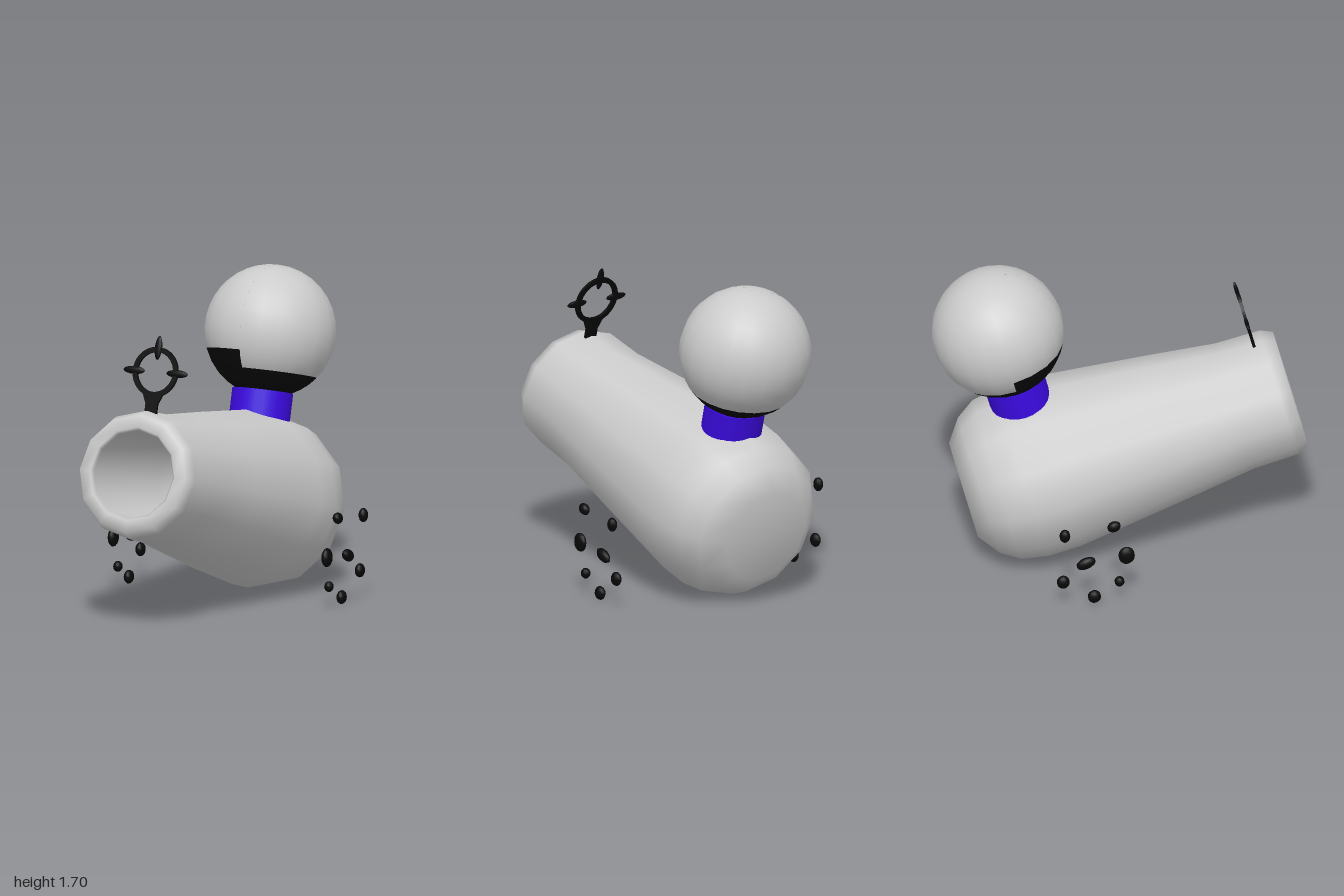
import * as THREE from 'three';

const TILT = 0.256; // the barrel points slightly upward
const paint = (color) => new THREE.MeshStandardMaterial({ color });

export function createModel() {
  const model = new THREE.Group();
  model.name = 'cannon';
  const grey = paint(0xcccccc);
  const black = paint(0x080808);
  const purple = paint(0x3b0ae0);

  const add = (parent, name, geometry, material, x = 0, y = 0, z = 0) => {
    const mesh = new THREE.Mesh(geometry, material);
    mesh.name = name;
    mesh.position.set(x, y, z);
    parent.add(mesh);
    return mesh;
  };

  // Everything except the side spots leans along the barrel axis
  const tilted = new THREE.Group();
  tilted.name = 'tiltedAssembly';
  tilted.rotation.x = -TILT;
  model.add(tilted);

  // Barrel: [radius, position along axis], from the back cap over the rim into the bore
  const profile = [
    [0, -0.705], [0.26, -0.705], [0.375, -0.62], [0.44, -0.52], [0.467, -0.38],
    [0.467, -0.2], [0.395, 0.42], [0.347, 0.795], [0.343, 1.04], [0.315, 1.105],
    [0.25, 1.107], [0.235, 1.09], [0.235, 0.35], [0, 0.35],
  ].map(([r, s]) => new THREE.Vector2(r, s));
  const barrel = new THREE.LatheGeometry(profile, 12);
  barrel.rotateX(Math.PI / 2);
  add(tilted, 'barrel', barrel, grey, -0.01, 0.587, 0);

  // Neck collar under the ball
  add(tilted, 'neck', new THREE.CylinderGeometry(0.162, 0.162, 0.21, 24), purple, -0.01, 1.055, -0.277);

  // Ball: grey above, black below, with the black reaching higher on one front quarter
  const ball = new THREE.Group();
  ball.name = 'ball';
  ball.position.set(-0.01, 1.48, -0.282);
  tilted.add(ball);
  const HALF = Math.PI / 2;
  const sections = [
    ['Quarter', 0, HALF, 5, 1.95],
    ['Main', HALF, 3 * HALF, 15, 2.25],
  ];
  for (const [name, start, length, segments, edge] of sections) {
    add(ball, 'ballTop' + name,
      new THREE.SphereGeometry(0.352, segments, 12, start, length, 0, edge), grey);
    add(ball, 'ballBase' + name,
      new THREE.SphereGeometry(0.352, segments, 6, start, length, edge, Math.PI - edge), black);
  }

  // Ring sight with three pointed ticks and a short stem
  const sight = new THREE.Group();
  sight.name = 'sight';
  sight.position.set(-0.005, 1.142, 0.988);
  tilted.add(sight);
  const flat = (shape) => new THREE.ExtrudeGeometry(shape, {
    depth: 0.016, bevelEnabled: false, curveSegments: 24,
  }).translate(0, 0, -0.008);
  const ring = new THREE.Shape().absarc(0, 0, 0.133, 0, Math.PI * 2, false);
  ring.holes.push(new THREE.Path().absarc(0, 0, 0.106, 0, Math.PI * 2, true));
  add(sight, 'sightRing', flat(ring), black);
  const stem = new THREE.Shape([
    [-0.035, -0.24], [0.035, -0.24], [0.035, -0.17], [0.06, -0.115], [-0.06, -0.115], [-0.035, -0.17],
  ].map(([x, y]) => new THREE.Vector2(x, y)));
  add(sight, 'sightStem', flat(stem), black);
  for (const angle of [0, HALF, Math.PI]) {
    const tick = add(sight, 'sightTick', new THREE.SphereGeometry(1, 12, 8), black,
      0.128 * Math.cos(angle), 0.128 * Math.sin(angle), 0);
    tick.scale.set(0.064, 0.021, 0.011);
    tick.rotation.z = angle;
  }

  // Loose spots floating at both sides: [x, y, z, height radius, length radius, turn]
  const spots = [
    [0.665, 0.495, -0.13, 0.03, 0.037, 0.4],
    [0.678, 0.47, -0.395, 0.038, 0.029, 0],
    [0.638, 0.293, -0.058, 0.051, 0.045, 0],
    [0.648, 0.27, -0.277, 0.032, 0.055, 0.4],
    [0.655, 0.17, -0.4, 0.038, 0.035, 0],
    [0.63, 0.13, -0.095, 0.029, 0.027, 0],
    [0.635, 0.052, -0.23, 0.037, 0.036, 0],
  ];
  for (const side of [1, -1]) {
    const group = new THREE.Group();
    group.name = side > 0 ? 'leftSpots' : 'rightSpots';
    model.add(group);
    for (const [x, y, z, h, l, turn] of spots) {
      const spot = add(group, 'spot', new THREE.SphereGeometry(1, 10, 8), black, side * x, y, z);
      spot.scale.set(0.025, h, l);
      spot.rotation.x = -turn;
    }
  }
  return model;
}
